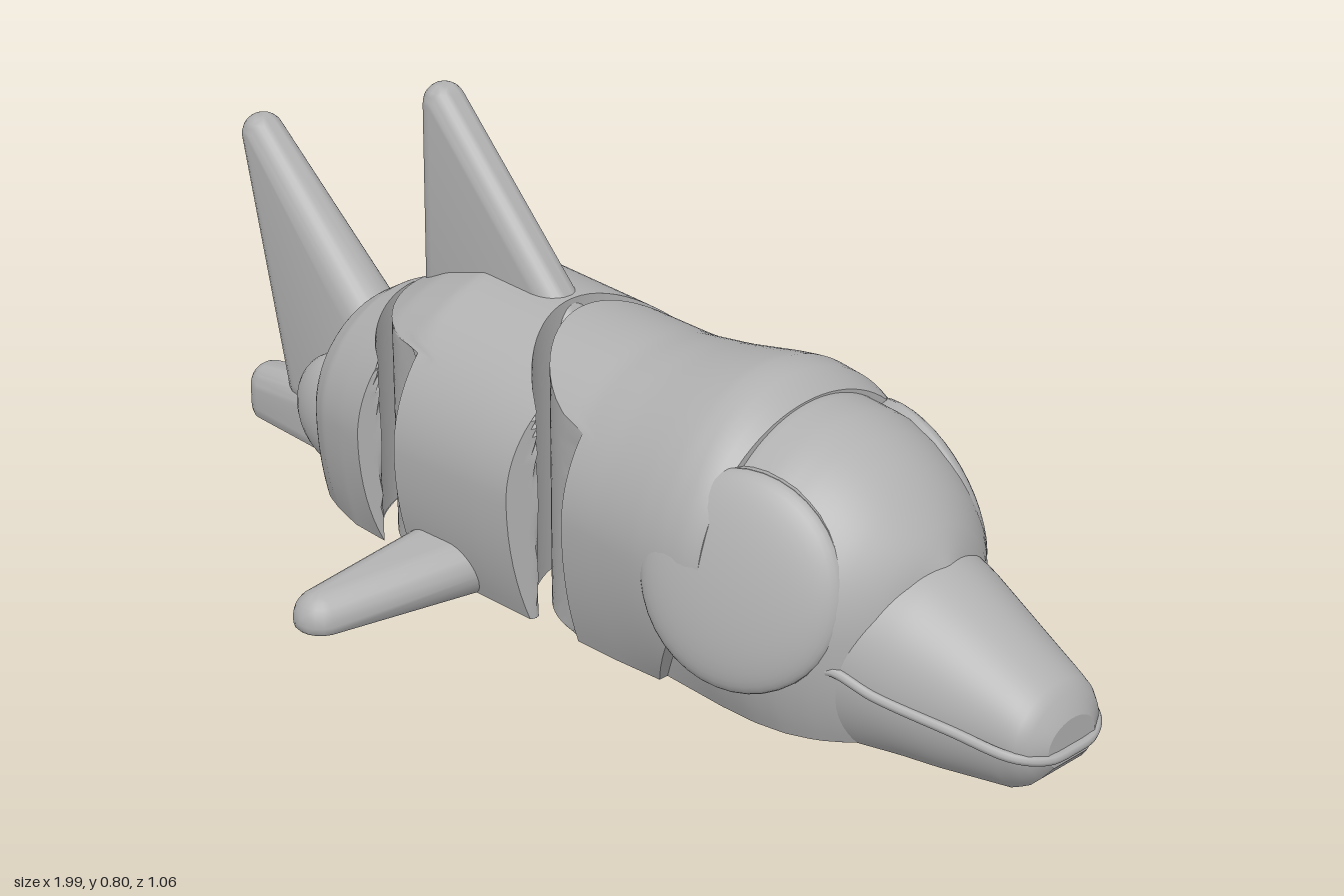
import * as THREE from 'three';
import { toCreasedNormals } from 'three/addons/utils/BufferGeometryUtils.js';
import { ConvexGeometry } from 'three/addons/geometries/ConvexGeometry.js';

const grey = new THREE.MeshStandardMaterial({ color: 0xb0b0b0, side: THREE.DoubleSide });
grey.name = 'grey plastic';
const lerp = THREE.MathUtils.lerp;

// Surface from a rule p(u, v) -> [x, y, z], outward along du x dv
function grid(nu, nv, p) {
  const pos = [], idx = [];
  for (let i = 0; i <= nu; i++) for (let j = 0; j <= nv; j++) {
    pos.push(...p(i / nu, j / nv));
    if (i < nu && j < nv) {
      const a = i * (nv + 1) + j, b = a + nv + 1;
      idx.push(a, b, b + 1, a, b + 1, a + 1);
    }
  }
  const g = new THREE.BufferGeometry();
  g.setAttribute('position', new THREE.Float32BufferAttribute(pos, 3));
  g.setIndex(idx);
  g.computeVertexNormals();
  return g;
}

function add(parent, name, geometry) {
  const m = new THREE.Mesh(geometry, grey);
  m.name = name;
  parent.add(m);
  return m;
}

// Interpolates rows of [x, halfWidth, top, bottomHalfWidth, widestY, baseY]
function profile(rows) {
  return x => {
    let i = 0;
    while (i < rows.length - 2 && x > rows[i + 1][0]) i++;
    const a = rows[i], b = rows[i + 1];
    const t = THREE.MathUtils.clamp((x - a[0]) / (b[0] - a[0]), 0, 1);
    return a.map((v, k) => lerp(v, b[k], t));
  };
}

// Flat-bottomed round section; v runs from one bottom edge over the top to the other
function sectionPoint(prof, x, v) {
  const [, w, h, b, c, base] = prof(x);
  const low = Math.acos(Math.min(0.98, b / w));
  const a = lerp(-low, Math.PI + low, v), s = Math.sin(a);
  return [x, s >= 0 ? c + (h - c) * s : c + (c - base) * s / Math.sin(low), w * Math.cos(a)];
}

// Body part between two end rules x = end(z, y), with caps and bottom
function segment(parent, name, rows, rear, front, joint) {
  const g = new THREE.Group(), prof = profile(rows), N = 64;
  g.name = name;
  parent.add(g);
  const edge = end => Array.from({ length: N + 1 }, (_, j) => {
    let x = end(0, 0.3);
    for (let k = 0; k < 40; k++) {
      const p = sectionPoint(prof, x, j / N);
      x = lerp(x, end(p[2], p[1]), 0.3);
    }
    return x;
  });
  const ra = edge(rear), fa = edge(front);
  add(g, name + 'Shell', grid(24, N, (u, v) => {
    const j = Math.round(v * N);
    return sectionPoint(prof, lerp(ra[j], fa[j], u), v);
  }));
  const cap = (xs, end, dir) => grid(48, N / 2, (u, v) => {
    const j = Math.round(v * N / 2), p = sectionPoint(prof, xs[j], j / N);
    const z = dir * (2 * u - 1) * p[2];
    return [end(z, p[1]), p[1], z];
  });
  add(g, name + 'RearFace', toCreasedNormals(cap(ra, rear, 1), 0.6));
  add(g, name + 'FrontFace', toCreasedNormals(cap(fa, front, -1), 0.6));
  const rb = prof(ra[0])[3], fb = prof(fa[0])[3];
  if (joint === undefined) {
    add(g, name + 'Bottom', grid(16, 32, (u, v) => {
      const s = 2 * v - 1, x = lerp(rear(s * rb, 0), front(s * fb, 0), u);
      const q = prof(x);
      return [x, q[5], s * q[3]];
    }));
    return;
  }
  // Bottom plate with the ring grooves of the joint
  const pts = [];
  for (let i = 0; i <= 40; i++) pts.push(new THREE.Vector2(front((i / 20 - 1) * fb, 0), (i / 20 - 1) * fb));
  for (let i = 40; i >= 0; i--) pts.push(new THREE.Vector2(rear((i / 20 - 1) * rb, 0), (i / 20 - 1) * rb));
  const plate = new THREE.Shape(pts), plates = [plate];
  const hole = (target, r) => target.holes.push(new THREE.Path().absarc(joint, 0, r, 0, Math.PI * 2, true));
  const disc = r => new THREE.Shape().absarc(joint, 0, r, 0, Math.PI * 2, false);
  hole(plate, 0.15);
  const ring = disc(0.13);
  hole(ring, 0.075);
  plates.push(ring, disc(0.055));
  add(g, name + 'Bottom', new THREE.ShapeGeometry(plates, 24).rotateX(Math.PI / 2));
  for (const [r0, r1] of [[0.13, 0.15], [0.055, 0.075]]) {
    const u = [[r0, 0], [r0, 0.05], [r1, 0.05], [r1, 0]].map(p => new THREE.Vector2(...p));
    add(g, 'jointGroove', toCreasedNormals(new THREE.LatheGeometry(u, 40), 0.6)).position.x = joint;
  }
}

// Rounded fin: hull around balls [x, y, z, r], kept above the floor
function fin(parent, name, balls) {
  const pts = [];
  for (const [x, y, z, r] of balls) {
    const p = new THREE.SphereGeometry(r, 20, 14).attributes.position;
    for (let i = 0; i < p.count; i++)
      pts.push(new THREE.Vector3(p.getX(i) + x, Math.max(0, p.getY(i) + y), p.getZ(i) + z));
  }
  add(parent, name, toCreasedNormals(new ConvexGeometry(pts), 0.7));
}

export function createModel() {
  const model = new THREE.Group();
  model.name = 'jointedDolphin';
  const J1 = -0.29, J2 = 0.11;
  // Joint ends: round tongue and matching hollow socket
  const tongue = c => z => Math.abs(z) < 0.2 ? c - Math.sqrt(0.04 - z * z) : c;
  const socket = c => z => Math.abs(z) < 0.204
    ? c - Math.sqrt(0.0529 - z * z) : c - 0.106 - (Math.abs(z) - 0.204) * 0.4;
  const flat = x => () => x;

  // Three body segments
  segment(model, 'tailSegment', [
    [-0.66, 0.10, 0.29, 0.08, 0.16, 0], [-0.64, 0.145, 0.325, 0.12, 0.17, 0],
    [-0.6, 0.185, 0.365, 0.16, 0.18, 0], [-0.55, 0.212, 0.395, 0.18, 0.19, 0],
    [-0.48, 0.23, 0.42, 0.2, 0.2, 0], [-0.4, 0.248, 0.45, 0.205, 0.21, 0]],
  flat(-0.655), socket(J1));
  segment(model, 'middleSegment', [
    [-0.5, 0.235, 0.42, 0.21, 0.21, 0], [-0.4, 0.255, 0.47, 0.215, 0.22, 0],
    [-0.3, 0.268, 0.5, 0.22, 0.23, 0], [-0.1, 0.262, 0.492, 0.22, 0.23, 0],
    [0.02, 0.256, 0.487, 0.22, 0.23, 0]],
  tongue(J1), socket(J2), J1);
  segment(model, 'shoulderSegment', [
    [-0.1, 0.255, 0.49, 0.215, 0.23, 0], [0.1, 0.252, 0.485, 0.215, 0.23, 0],
    [0.2, 0.26, 0.498, 0.215, 0.235, 0], [0.3, 0.27, 0.518, 0.21, 0.24, 0],
    [0.35, 0.273, 0.526, 0.21, 0.24, 0], [0.4, 0.273, 0.517, 0.205, 0.24, 0],
    [0.44, 0.268, 0.485, 0.2, 0.24, 0]],
  tongue(J2), (z, y) => 0.435 - Math.max(0, 0.25 - y) * 0.55, J2);

  // Head and beak
  segment(model, 'head', [
    [0.27, 0.22, 0.42, 0.19, 0.22, 0], [0.43, 0.25, 0.486, 0.2, 0.23, 0],
    [0.5, 0.25, 0.478, 0.2, 0.23, 0], [0.56, 0.235, 0.457, 0.19, 0.22, 0],
    [0.61, 0.215, 0.428, 0.17, 0.21, 0], [0.65, 0.19, 0.395, 0.14, 0.2, 0],
    [0.69, 0.145, 0.352, 0.1, 0.19, 0], [0.715, 0.1, 0.316, 0.07, 0.18, 0],
    [0.73, 0.04, 0.285, 0.03, 0.17, 0]],
  flat(0.28), flat(0.73));
  segment(model, 'beak', [
    [0.58, 0.195, 0.33, 0.15, 0.15, 0], [0.66, 0.177, 0.315, 0.13, 0.135, 0],
    [0.73, 0.16, 0.293, 0.11, 0.12, 0], [0.8, 0.141, 0.258, 0.095, 0.11, 0],
    [0.92, 0.108, 0.195, 0.06, 0.1, 0], [0.95, 0.1, 0.178, 0.055, 0.095, 0.015],
    [0.97, 0.085, 0.16, 0.05, 0.09, 0.035], [0.985, 0.055, 0.125, 0.04, 0.085, 0.055]],
  flat(0.59), flat(0.984));
  const side = [[0.61, 0.125, 0.196], [0.64, 0.145, 0.183], [0.72, 0.122, 0.163],
    [0.85, 0.1, 0.129], [0.95, 0.083, 0.1], [0.982, 0.074, 0.055]];
  const lip = [...side, [0.987, 0.073, 0], ...side.map(([x, y, z]) => [x, y, -z]).reverse()];
  add(model, 'lip', new THREE.TubeGeometry(
    new THREE.CatmullRomCurve3(lip.map(p => new THREE.Vector3(...p))), 80, 0.009, 8));

  // Domed eye discs and tail bulges on both sides
  for (const s of [1, -1]) {
    const eye = new THREE.Group();
    eye.name = s > 0 ? 'frontEye' : 'backEye';
    eye.position.set(0.475, 0.25, 0.2 * s);
    eye.quaternion.setFromUnitVectors(new THREE.Vector3(0, 1, 0),
      new THREE.Vector3(0.25, 0.25, s).normalize());
    model.add(eye);
    add(eye, 'eyeDome', new THREE.SphereGeometry(0.182, 40, 12, 0, Math.PI * 2, 0, Math.PI / 2).scale(1, 0.27, 1))
      .position.y = 0.012;
    add(eye, 'eyeRim', new THREE.CylinderGeometry(0.182, 0.182, 0.03, 40));
    add(model, 'tailBulge', new THREE.SphereGeometry(1, 32, 20).scale(0.125, 0.115, 0.068))
      .position.set(-0.655, 0.117, 0.062 * s);
    fin(model, s > 0 ? 'frontFlipper' : 'backFlipper', [
      [-0.235, 0.045, 0.2 * s, 0.055], [-0.165, 0.045, 0.2 * s, 0.055], [-0.24, 0.015, 0.48 * s, 0.05]]);
  }

  // Back fin and upright tail fin
  fin(model, 'backFin', [[-0.44, 0.763, 0, 0.038], [-0.44, 0.4, 0, 0.04], [-0.13, 0.435, 0, 0.04]]);
  fin(model, 'upperTailLobe', [[-0.947, 0.572, 0, 0.04], [-0.825, 0.11, 0, 0.05], [-0.66, 0.29, 0, 0.06], [-0.66, 0.1, 0, 0.06]]);
  fin(model, 'lowerTailLobe', [[-0.95, 0.06, 0, 0.045], [-0.95, 0.02, 0, 0.045], [-0.7, 0.08, 0, 0.06], [-0.7, 0.02, 0, 0.06]]);
  return model;
}
